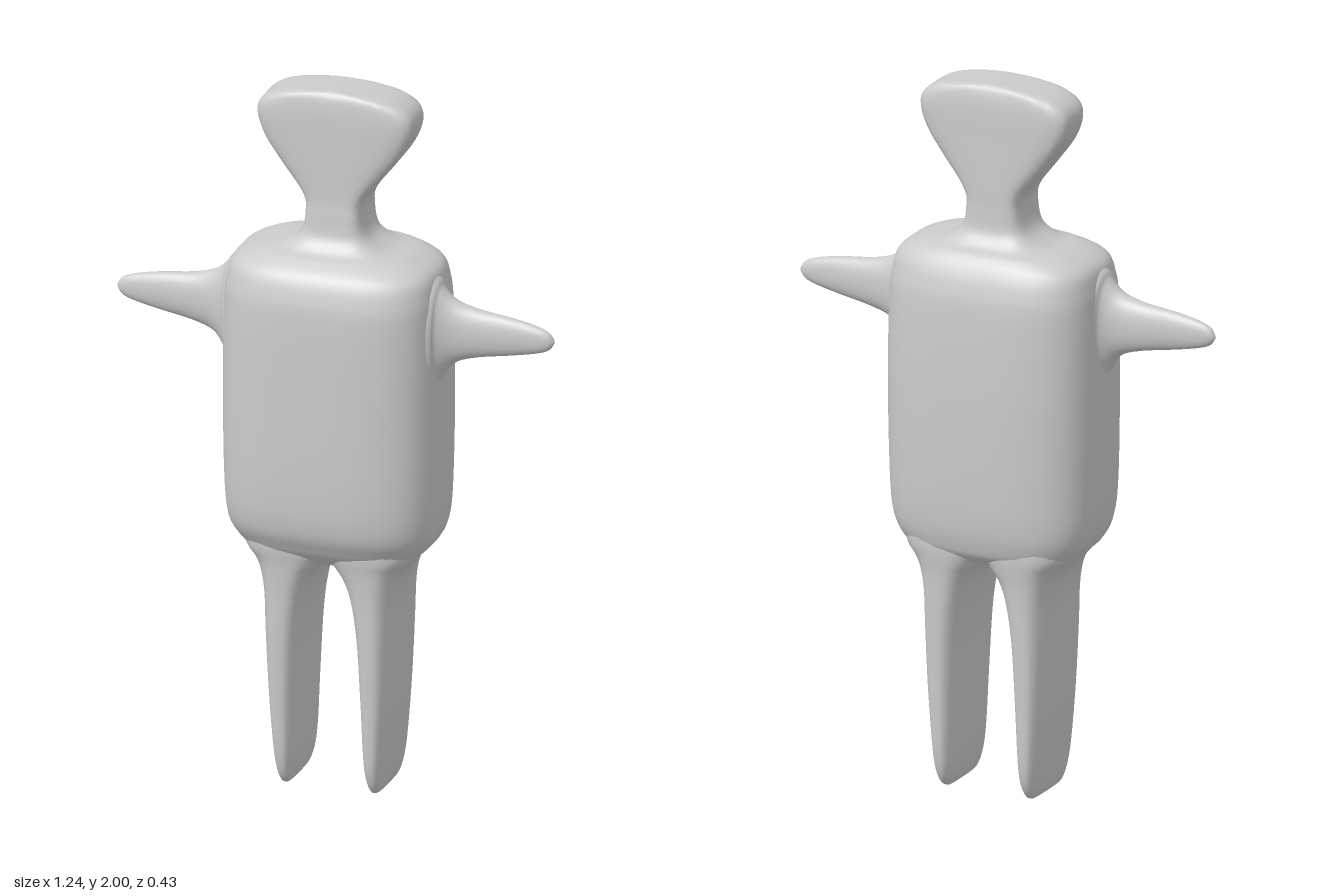
import * as THREE from 'three';

const material = new THREE.MeshStandardMaterial({ color: 0xcccccc });
const SEGMENTS = 56, STEPS = 6;

const catmull = (a, b, c, d, t) =>
  0.5 * (2 * b + (c - a) * t + (2 * a - 5 * b + 4 * c - d) * t * t + (3 * b - a - 3 * c + d) * t * t * t);

// Smoothly fill in between the given cross-sections.
function refine(rows) {
  const at = (i) => rows[Math.min(Math.max(i, 0), rows.length - 1)];
  const out = [];
  for (let i = 0; i < rows.length - 1; i++) {
    for (let s = 0; s < STEPS; s++) {
      out.push(at(i).map((v, k) => catmull(at(i - 1)[k], v, at(i + 1)[k], at(i + 2)[k], s / STEPS)));
    }
  }
  out.push(rows[rows.length - 1]);
  return out;
}

// Skin rounded-box sections [position, u min, u max, v min, v max, squareness].
// place(u, v, w) maps them to x, y, z; flip reverses the faces of mirrored parts.
function loft(name, rows, place, flip = false) {
  const sections = refine(rows), pos = [], index = [];
  const tri = (a, b, c) => (flip ? index.push(a, c, b) : index.push(a, b, c));
  for (const [w, u0, u1, v0, v1, n] of sections) {
    for (let j = 0; j < SEGMENTS; j++) {
      const a = (j / SEGMENTS) * Math.PI * 2, c = Math.cos(a), s = Math.sin(a);
      const r = Math.pow(Math.abs(c) ** n + Math.abs(s) ** n, -1 / n);
      pos.push(...place((u0 + u1) / 2 + (c * r * (u1 - u0)) / 2, (v0 + v1) / 2 + (s * r * (v1 - v0)) / 2, w));
    }
  }
  for (let i = 0; i < sections.length - 1; i++) {
    for (let j = 0; j < SEGMENTS; j++) {
      const a = i * SEGMENTS + j, b = i * SEGMENTS + ((j + 1) % SEGMENTS);
      tri(a, b, b + SEGMENTS);
      tri(a, b + SEGMENTS, a + SEGMENTS);
    }
  }
  // End caps
  for (const end of [0, sections.length - 1]) {
    const [w, u0, u1, v0, v1] = sections[end], centre = pos.length / 3;
    pos.push(...place((u0 + u1) / 2, (v0 + v1) / 2, w));
    for (let j = 0; j < SEGMENTS; j++) {
      const a = end * SEGMENTS + j, b = end * SEGMENTS + ((j + 1) % SEGMENTS);
      if (end === 0) tri(centre, b, a);
      else tri(centre, a, b);
    }
  }
  const geometry = new THREE.BufferGeometry();
  geometry.setAttribute('position', new THREE.Float32BufferAttribute(pos, 3));
  geometry.setIndex(index);
  geometry.computeVertexNormals();
  const mesh = new THREE.Mesh(geometry, material);
  mesh.name = name;
  return mesh;
}

export function createModel() {
  const group = new THREE.Group();
  group.name = 'figure';

  // Torso, neck and fan-shaped head: [y, back z, front z, half width, squareness]
  const body = [
    [0.665, -0.14, 0.12, 0.17, 3],
    [0.69, -0.17, 0.15, 0.235, 3.2],
    [0.72, -0.185, 0.172, 0.27, 3.2],
    [0.78, -0.198, 0.2, 0.292, 3.2],
    [0.9, -0.206, 0.212, 0.3, 3.2],
    [1.15, -0.212, 0.215, 0.303, 3.2],
    [1.38, -0.207, 0.213, 0.3, 3.2],
    [1.46, -0.195, 0.202, 0.293, 3.2],
    [1.51, -0.175, 0.18, 0.275, 3.2],
    [1.54, -0.15, 0.14, 0.215, 3.2],
    [1.555, -0.12, 0.108, 0.145, 3.5],
    [1.59, -0.095, 0.082, 0.095, 4.5],
    [1.65, -0.09, 0.074, 0.079, 6],
    [1.7, -0.09, 0.07, 0.088, 6],
    [1.78, -0.09, 0.07, 0.148, 6],
    [1.85, -0.09, 0.07, 0.198, 6],
    [1.91, -0.09, 0.07, 0.22, 6],
    [1.95, -0.088, 0.068, 0.211, 6],
    [1.978, -0.083, 0.064, 0.17, 6],
    [1.993, -0.076, 0.057, 0.1, 6],
    [2, -0.066, 0.048, 0.015, 6],
  ].map(([y, z0, z1, x, n]) => [y, z0, z1, -x, x, n]);
  group.add(loft('torsoAndHead', body, (u, v, w) => [v, w, u]));

  // Blade-like legs: [y, back z, front z, inner x, outer x, squareness]
  const leg = [
    [0, -0.08, 0.06, 0.12, 0.13, 3],
    [0.012, -0.105, 0.085, 0.11, 0.143, 3],
    [0.05, -0.128, 0.106, 0.1, 0.153, 3],
    [0.12, -0.141, 0.12, 0.094, 0.161, 3],
    [0.28, -0.15, 0.131, 0.087, 0.173, 3],
    [0.45, -0.157, 0.139, 0.077, 0.181, 3],
    [0.56, -0.162, 0.143, 0.06, 0.186, 3],
    [0.62, -0.166, 0.147, 0.038, 0.197, 3],
    [0.66, -0.171, 0.151, 0.008, 0.215, 3],
    [0.7, -0.175, 0.157, -0.02, 0.245, 3],
    [0.76, -0.175, 0.16, -0.02, 0.25, 3],
  ];

  // Tapering arms: [x, bottom y, top y, back z, front z, squareness]
  const arm = [
    [0.24, 1.12, 1.53, -0.09, 0.14, 2.2],
    [0.29, 1.17, 1.49, -0.07, 0.115, 2.2],
    [0.305, 1.21, 1.468, -0.04, 0.092, 2.2],
    [0.34, 1.258, 1.438, -0.02, 0.072, 2.2],
    [0.4, 1.281, 1.419, -0.01, 0.06, 2.2],
    [0.5, 1.3, 1.406, 0, 0.052, 2.2],
    [0.57, 1.315, 1.392, 0.007, 0.046, 2.2],
    [0.605, 1.328, 1.378, 0.013, 0.04, 2],
    [0.62, 1.348, 1.358, 0.022, 0.03, 2],
  ];

  for (const [side, s] of [['left', 1], ['right', -1]]) {
    group.add(loft(side + 'Leg', leg, (u, v, w) => [s * v, w, u], s < 0));
    group.add(loft(side + 'Arm', arm, (u, v, w) => [s * w, u, v], s < 0));
  }
  return group;
}
